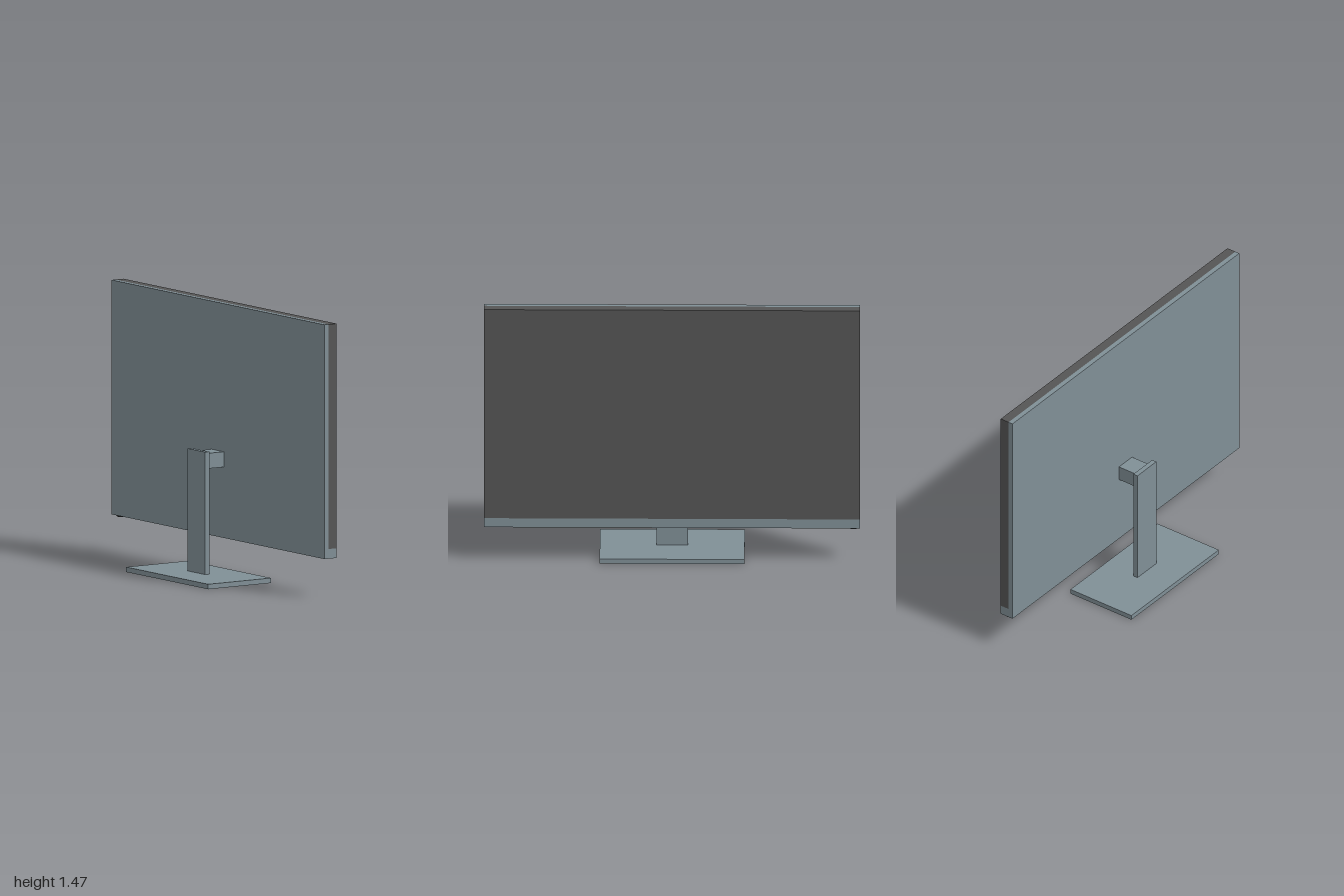
import * as THREE from 'three';

export function createModel() {
  const model = new THREE.Group();
  model.name = 'monitor';
  const casing = new THREE.MeshStandardMaterial({ color: 0x808f96 });
  const dark = new THREE.MeshStandardMaterial({ color: 0x555555 });
  const black = new THREE.MeshStandardMaterial({ color: 0x2b2b2b });

  // Box given by its extents on each axis
  const block = (name, [x0, x1], [y0, y1], [z0, z1], material) => {
    const mesh = new THREE.Mesh(new THREE.BoxGeometry(x1 - x0, y1 - y0, z1 - z0), material);
    mesh.position.set((x0 + x1) / 2, (y0 + y1) / 2, (z0 + z1) / 2);
    mesh.name = name;
    model.add(mesh);
  };

  // Stand
  block('base', [-0.203, 0.203], [0, 0.027], [-0.385, 0.385], casing);
  block('post', [-0.015, 0.012], [0.027, 0.685], [-0.083, 0.083], casing);
  block('arm', [0.012, 0.125], [0.59, 0.672], [-0.06, 0.055], casing);

  // Display, facing +x
  block('backPanel', [0.125, 0.151], [0.209, 1.468], [-1, 1], casing);
  block('bottomBezel', [0.151, 0.203], [0.209, 0.261], [-1, 1], casing);
  block('screen', [0.151, 0.203], [0.261, 1.468], [-1, 1], dark);

  // Small round power button under the bezel corner
  const button = new THREE.Mesh(new THREE.CylinderGeometry(0.027, 0.024, 0.01, 24), black);
  button.position.set(0.165, 0.204, -0.965);
  button.name = 'powerButton';
  model.add(button);

  return model;
}
